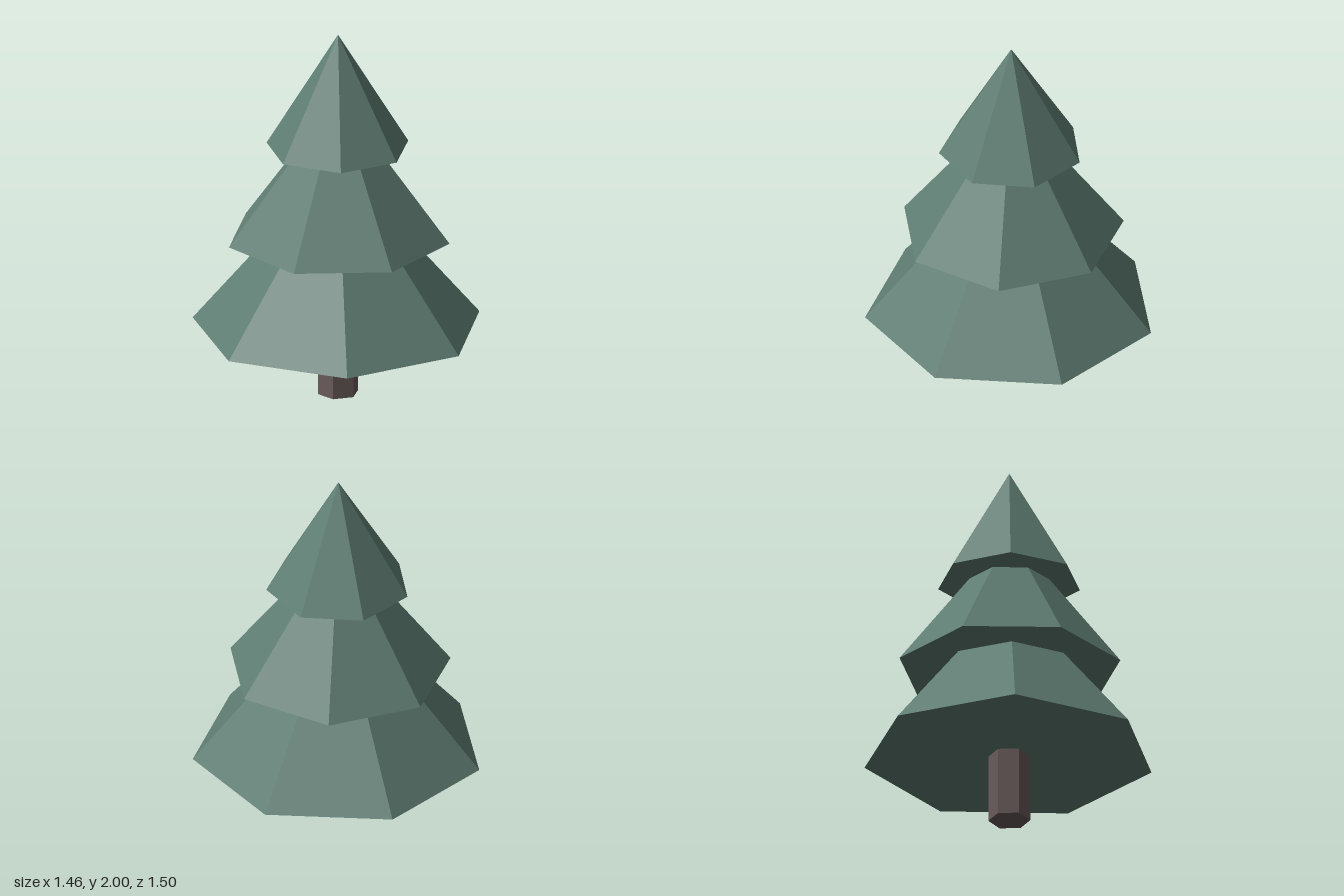
import * as THREE from 'three';

const AXIS_X = -0.04; // the seven-sided outline is centred by its bounds, so the axis sits off x = 0

export function createModel() {
  const tree = new THREE.Group();
  tree.name = 'pineTree';

  const needles = new THREE.MeshStandardMaterial({ color: 0x5f7d73, flatShading: true });
  needles.name = 'needleGreen';
  const bark = new THREE.MeshStandardMaterial({ color: 0x695a5a, flatShading: true });
  bark.name = 'barkBrown';

  // Closed prism or cone; cornerDeg is one corner's angle from +x towards +z
  const addPart = (name, material, topR, bottomR, y0, y1, sides, cornerDeg) => {
    const start = Math.PI / 2 - THREE.MathUtils.degToRad(cornerDeg);
    const geometry = new THREE.CylinderGeometry(topR, bottomR, y1 - y0, sides, 1, false, start);
    const mesh = new THREE.Mesh(geometry, material);
    mesh.name = name;
    mesh.position.set(AXIS_X, (y0 + y1) / 2, 0);
    tree.add(mesh);
  };

  // Six-sided trunk
  addPart('trunk', bark, 0.11, 0.11, 0, 0.39, 6, 0);

  // Three overlapping tiers of branches
  addPart('lowerBranches', needles, 0, 0.77, 0.37, 1.29, 7, 0);
  addPart('middleBranches', needles, 0, 0.592, 0.87, 1.655, 7, 180.8);
  addPart('upperBranches', needles, 0, 0.38, 1.37, 2, 7, 1.3);

  return tree;
}
